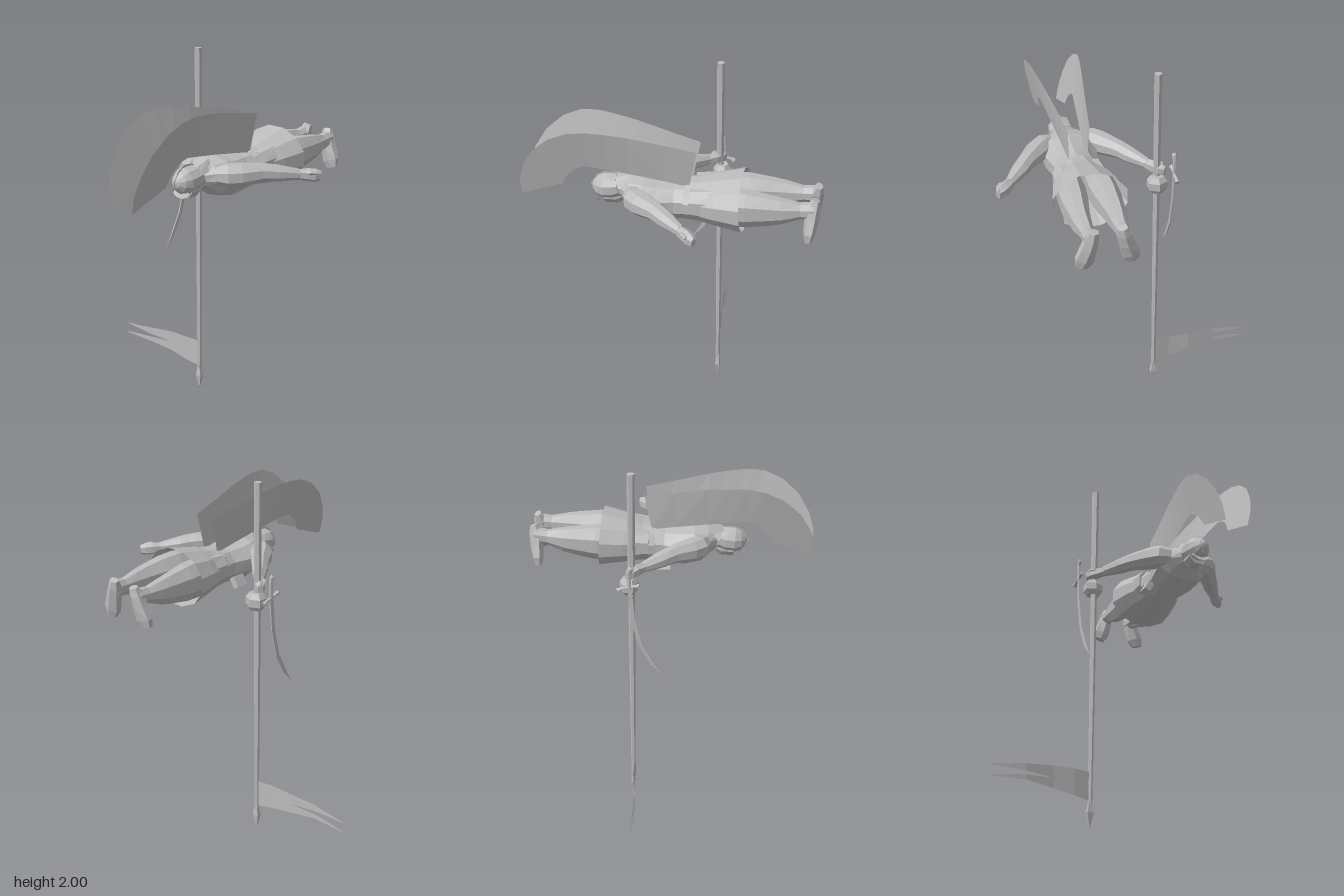
import * as THREE from 'three';

const CX = 0.264; // centre line of the prone figure
const V = (x, y, z) => new THREE.Vector3(x, y, z);

// Builds a faceted mesh from points and triangle indices
function facet(name, pts, idx, mat) {
  const g = new THREE.BufferGeometry().setFromPoints(pts);
  g.setIndex(idx);
  const flat = g.toNonIndexed();
  flat.computeVertexNormals();
  const m = new THREE.Mesh(flat, mat);
  m.name = name;
  return m;
}

// Lofts elliptical rings [x, y, z, halfWidth, halfHeight] along their own path
function loft(name, rings, mat, { sides = 8, up = V(0, 1, 0), open = false } = {}) {
  const pts = [], idx = [], n = rings.length;
  const c = rings.map(r => V(r[0], r[1], r[2]));
  rings.forEach((r, i) => {
    const t = c[Math.min(i + 1, n - 1)].clone().sub(c[Math.max(i - 1, 0)]).normalize();
    const side = up.clone().cross(t).normalize();
    const rise = t.clone().cross(side);
    for (let j = 0; j < sides; j++) {
      const a = (j + 0.5) / sides * Math.PI * 2;
      pts.push(c[i].clone().addScaledVector(side, r[3] * Math.cos(a)).addScaledVector(rise, r[4] * Math.sin(a)));
    }
  });
  for (let i = 0; i < n - 1; i++) for (let j = 0; j < sides; j++) {
    const k = (j + 1) % sides, p = i * sides, q = p + sides;
    idx.push(p + j, p + k, q + j, p + k, q + k, q + j);
  }
  if (!open) {
    const s = pts.push(c[0]) - 1, e = pts.push(c[n - 1]) - 1, q = (n - 1) * sides;
    for (let j = 0; j < sides; j++) {
      const k = (j + 1) % sides;
      idx.push(s, k, j, e, q + j, q + k);
    }
  }
  return facet(name, pts, idx, mat);
}

// Thin sheet between two edges with equal point counts
function strip(name, edgeA, edgeB, mat) {
  const pts = [], idx = [];
  edgeA.forEach((a, i) => pts.push(a, edgeB[i]));
  for (let i = 0; i < edgeA.length - 1; i++) {
    const p = i * 2;
    idx.push(p, p + 1, p + 2, p + 1, p + 3, p + 2);
  }
  return facet(name, pts, idx, mat);
}

export function createModel() {
  const root = new THREE.Group();
  root.name = 'wingedLancer';
  const grey = new THREE.MeshStandardMaterial({ color: 0xbcbcbc });
  grey.name = 'plain grey';
  grey.side = THREE.DoubleSide;
  const add = (...m) => root.add(...m);

  // Lance: shaft, spear point and hand guard ball
  const lx = -0.124;
  add(loft('lanceShaft', [[lx, 2, -0.178, 0.02, 0.02], [lx, 1.4, -0.184, 0.018, 0.018], [lx, 0.13, -0.194, 0.012, 0.012]],
    grey, { sides: 6, up: V(0, 0, 1) }));
  add(loft('lancePoint', [[lx, 0.15, -0.194, 0.012, 0.012], [lx, 0.135, -0.194, 0.013, 0.013],
    [lx, 0.08, -0.194, 0.026, 0.018], [lx, 0, -0.195, 0.001, 0.001]], grey, { sides: 4, up: V(0, 0, 1) }));
  add(loft('lanceBall', [[lx, 1.425, -0.195, 0.036, 0.032], [lx, 1.4, -0.197, 0.056, 0.048],
    [lx, 1.36, -0.197, 0.056, 0.048], [lx, 1.335, -0.197, 0.036, 0.032]], grey, { sides: 6, up: V(0, 0, 1) }));

  // Swallow-tailed pennant: upper and lower tails meeting at the notch
  const pz = x => -0.19 + 0.037 * Math.min(1, (-x - 0.12) / 0.42) + 0.004 * Math.sin(x * 22);
  const edge = list => list.map(([x, y]) => V(x, y, pz(x)));
  add(strip('pennantTop',
    edge([[-0.125, 0.3], [-0.22, 0.302], [-0.335, 0.3], [-0.49, 0.285], [-0.58, 0.271], [-0.685, 0.259]]),
    edge([[-0.125, 0.235], [-0.22, 0.235], [-0.335, 0.235], [-0.49, 0.245], [-0.58, 0.25], [-0.685, 0.256]]), grey));
  add(strip('pennantBottom',
    edge([[-0.125, 0.235], [-0.22, 0.235], [-0.335, 0.235], [-0.49, 0.226], [-0.58, 0.216], [-0.685, 0.199]]),
    edge([[-0.125, 0.142], [-0.22, 0.158], [-0.335, 0.18], [-0.49, 0.198], [-0.58, 0.197], [-0.685, 0.195]]), grey));

  // Sabre: curved blade, cross guard and grip
  const sx = -0.216, xUp = { sides: 4, up: V(1, 0, 0) };
  add(loft('sabreBlade', [[sx, 1.42, -0.186, 0.016, 0.005], [sx, 1.24, -0.172, 0.016, 0.005], [sx, 1.08, -0.135, 0.016, 0.005],
    [sx, 0.965, -0.075, 0.014, 0.004], [sx, 0.89, -0.02, 0.001, 0.001]], grey, xUp));
  add(loft('sabreGuard', [[sx, 1.4, -0.245, 0.014, 0.014], [sx, 1.41, -0.225, 0.008, 0.008],
    [sx, 1.425, -0.16, 0.008, 0.008], [sx, 1.43, -0.135, 0.013, 0.013]], grey, { sides: 6 }));
  add(loft('sabreGrip', [[sx, 1.41, -0.187, 0.011, 0.009], [sx, 1.5, -0.187, 0.012, 0.009],
    [sx, 1.525, -0.178, 0.018, 0.012], [sx, 1.532, -0.172, 0.012, 0.009]], grey, { sides: 6, up: V(1, 0, 0) }));

  // Torso, neck and open skirt
  const body = list => list.map(([z, y, a, b]) => [CX, y, z, a, b]);
  add(loft('torso', body([[-0.14, 1.445, 0.125, 0.1], [-0.04, 1.435, 0.118, 0.102], [0.06, 1.432, 0.142, 0.108],
    [0.14, 1.45, 0.15, 0.1], [0.2, 1.465, 0.11, 0.07], [0.24, 1.46, 0.055, 0.05], [0.3, 1.455, 0.05, 0.05]]), grey, { sides: 10 }));
  add(loft('skirt', body([[-0.09, 1.44, 0.125, 0.103], [-0.16, 1.445, 0.137, 0.108], [-0.25, 1.453, 0.165, 0.127],
    [-0.375, 1.461, 0.192, 0.152]]), grey, { sides: 12, open: true }));

  // Head: face, domed helmet, comb, neck guard and peak
  add(loft('face', body([[0.24, 1.44, 0.04, 0.05], [0.27, 1.43, 0.05, 0.062], [0.33, 1.43, 0.054, 0.064]]), grey));
  add(loft('helmet', body([[0.255, 1.472, 0.064, 0.058], [0.29, 1.462, 0.068, 0.068], [0.335, 1.456, 0.066, 0.07],
    [0.37, 1.456, 0.05, 0.053], [0.392, 1.458, 0.024, 0.026], [0.4, 1.458, 0.004, 0.004]]), grey, { sides: 10 }));
  const comb = [[0.27, 1.535], [0.33, 1.54], [0.375, 1.515], [0.408, 1.46], [0.385, 1.41]];
  add(strip('helmetComb', comb.map(([z, y]) => V(CX, y, z)), comb.map(([z]) => V(CX, 1.46, z - 0.03)), grey));
  const guard = (z, y, w, d) => [-1, -0.5, 0.5, 1].map(k => V(CX + k * w, y - (Math.abs(k) > 0.6 ? d : 0), z));
  add(strip('neckGuard', guard(0.28, 1.52, 0.055, 0.035), guard(0.195, 1.55, 0.064, 0.055), grey));
  add(strip('helmetPeak', [-0.05, -0.02, 0.02, 0.05].map(x => V(CX + x, 1.41, 0.35)),
    [-0.045, -0.018, 0.018, 0.045].map(x => V(CX + x, 1.365 + Math.abs(x) * 0.6, 0.365)), grey));

  // Belt pouch
  const pouch = new THREE.Mesh(new THREE.BoxGeometry(0.035, 0.06, 0.07), grey);
  pouch.name = 'pouch';
  pouch.position.set(0.135, 1.365, -0.035);
  pouch.rotation.z = -0.5;
  add(pouch);

  for (const s of [-1, 1]) {
    const tag = s < 0 ? 'right' : 'left';
    const mir = list => list.map(([x, ...r]) => [CX + s * x, ...r]);

    // Arm swept back along the body
    add(loft(tag + 'Arm', mir([[0.08, 1.468, 0.175, 0.045, 0.05], [0.13, 1.472, 0.15, 0.062, 0.064], [0.17, 1.475, 0.105, 0.062, 0.062],
      [0.23, 1.482, 0.025, 0.048, 0.05], [0.255, 1.48, -0.005, 0.045, 0.046], [0.285, 1.475, -0.045, 0.044, 0.042],
      [0.352, 1.465, -0.128, 0.026, 0.028]]), grey));
    add(loft(tag + 'Hand', mir([[0.345, 1.465, -0.12, 0.026, 0.026], [0.38, 1.462, -0.16, 0.032, 0.034],
      [0.405, 1.458, -0.185, 0.03, 0.034], [0.425, 1.455, -0.205, 0.014, 0.026]]), grey, { sides: 6 }));
    add(loft(tag + 'Thumb', mir([[0.375, 1.47, -0.14, 0.012, 0.012], [0.405, 1.478, -0.15, 0.012, 0.012],
      [0.425, 1.475, -0.17, 0.008, 0.008]]), grey, { sides: 5 }));

    // Leg and foot, toes pointing down and outward
    add(loft(tag + 'Leg', mir([[0.075, 1.455, -0.12, 0.065, 0.08], [0.077, 1.458, -0.3, 0.074, 0.105], [0.082, 1.462, -0.4, 0.07, 0.1],
      [0.086, 1.468, -0.51, 0.054, 0.082], [0.086, 1.472, -0.57, 0.047, 0.07], [0.082, 1.482, -0.66, 0.034, 0.043],
      [0.08, 1.487, -0.725, 0.036, 0.048]]), grey));
    add(loft(tag + 'Foot', mir([[0.068, 1.542, -0.732, 0.026, 0.02], [0.076, 1.5, -0.72, 0.036, 0.038], [0.092, 1.44, -0.717, 0.042, 0.036],
      [0.112, 1.375, -0.712, 0.05, 0.03], [0.125, 1.335, -0.71, 0.034, 0.018]]), grey, { sides: 6, up: V(0, 0, 1) }));

    // Tall curved wing, twisting outward toward its tip
    const wing = list => list.map(([z, y]) =>
      V(CX + s * (0.05 + 0.055 * z + (y - 1.525) * THREE.MathUtils.clamp(0.1 + 0.25 * z, 0.05, 0.22)), y, z));
    add(strip(tag + 'Wing',
      wing([[-0.143, 1.725], [0.02, 1.757], [0.19, 1.79], [0.296, 1.803], [0.39, 1.81], [0.481, 1.8], [0.577, 1.757],
        [0.667, 1.677], [0.725, 1.58], [0.754, 1.49], [0.751, 1.397]]),
      wing([[-0.106, 1.525], [0.02, 1.547], [0.19, 1.575], [0.3, 1.591], [0.4, 1.605], [0.44, 1.595], [0.465, 1.577],
        [0.49, 1.557], [0.508, 1.535], [0.522, 1.51], [0.534, 1.482]]), grey));
  }
  return root;
}
